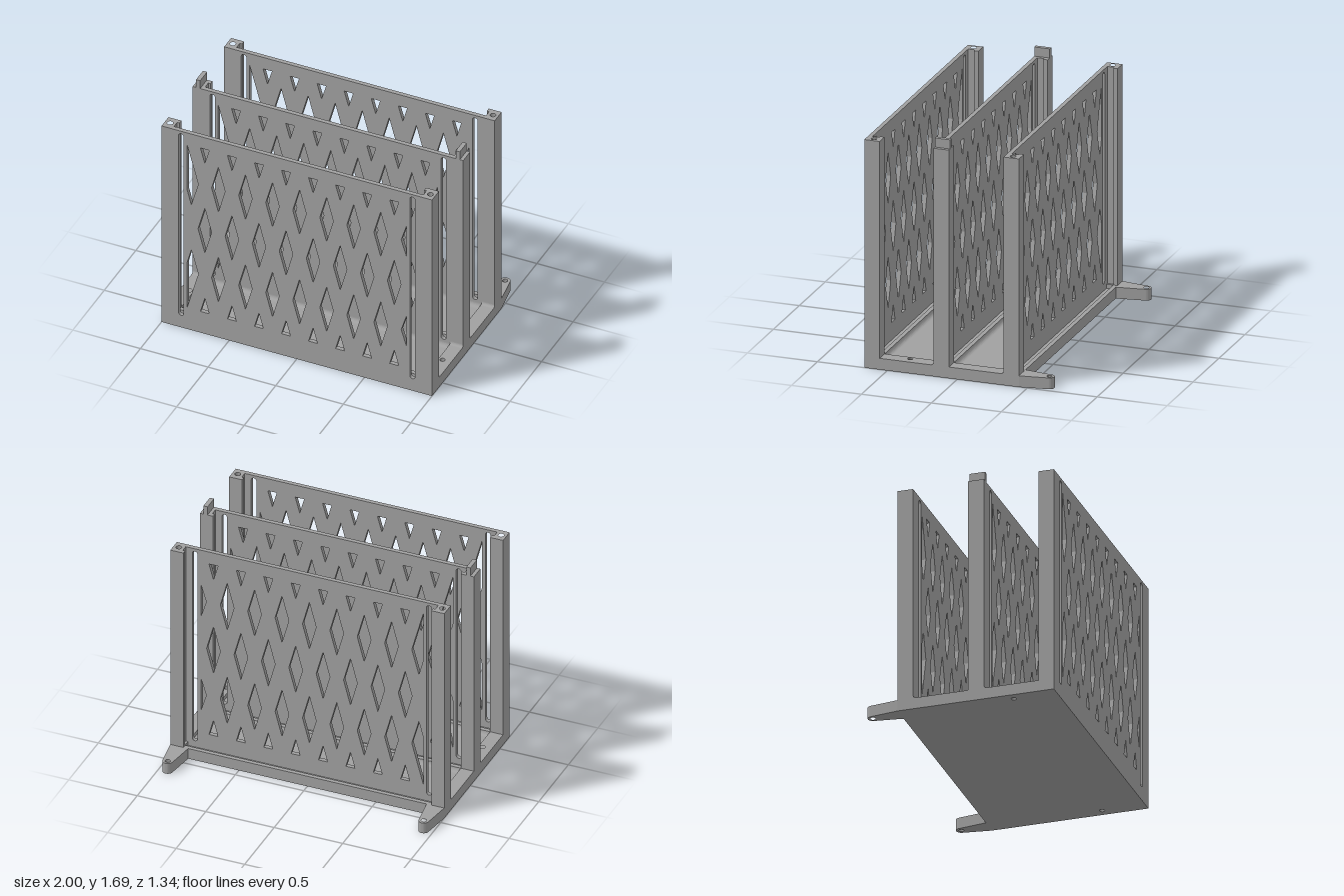
import * as THREE from 'three';

const grey = new THREE.MeshStandardMaterial({ color: 0xa0a0a0 });
grey.name = 'grey plastic';

const FRONTS = [0.665, 0.17, -0.33]; // front face of each wall
const DEPTH = 0.11, SHEET = 0.03, TOP = 1.625;
const FLOOR = 0.05, RIM = 0.08, INNER = 0.905;

const poly = (pts, Type = THREE.Shape) => new Type(pts.map(([x, y]) => new THREE.Vector2(x, y)));
const circle = (x, y, r) => new THREE.Path().absarc(x, y, r, 0, Math.PI * 2, true);

function add(parent, name, geo) {
  const mesh = new THREE.Mesh(geo, grey);
  mesh.name = name;
  parent.add(mesh);
  return mesh;
}

function box(parent, name, x0, x1, y0, y1, z0, z1) {
  const geo = new THREE.BoxGeometry(x1 - x0, y1 - y0, z1 - z0);
  return add(parent, name, geo.translate((x0 + x1) / 2, (y0 + y1) / 2, (z0 + z1) / 2));
}

// Extrude a plan shape, drawn in (x, -z), upwards from y0 to y1
function plan(parent, name, shape, y0, y1) {
  const geo = new THREE.ExtrudeGeometry(shape, { depth: y1 - y0, bevelEnabled: false, curveSegments: 12 });
  return add(parent, name, geo.rotateX(-Math.PI / 2).translate(0, y0, 0));
}

// Concave fillet along x, in the corner at (y, z); dir is the way it spreads in z
function cove(parent, x0, x1, y, z, r, dir) {
  const shape = new THREE.Shape();
  shape.moveTo(0, 0);
  shape.lineTo(-dir * r, 0);
  for (let i = 1; i <= 6; i++) {
    const a = (i / 6) * Math.PI / 2;
    shape.lineTo(-dir * r * (1 - Math.sin(a)), r * (1 - Math.cos(a)));
  }
  const geo = new THREE.ExtrudeGeometry(shape, { depth: x1 - x0, bevelEnabled: false });
  add(parent, 'floorFillet', geo.rotateY(Math.PI / 2).translate(x0, y, z));
}

// Perforated front sheet: diamonds, triangles and two long slots
function sheetGeometry() {
  const shape = poly([[-INNER, FLOOR], [INNER, FLOOR], [INNER, TOP], [-INNER, TOP]]);
  const hole = (pts) => shape.holes.push(poly(pts, THREE.Path));
  const diamond = (x, y) => hole([[x, y - 0.185], [x + 0.05, y], [x, y + 0.185], [x - 0.05, y]]);
  for (let i = 0; i < 8; i++) {
    const x = -0.68 + 0.2 * i;
    diamond(x, 0.855);
    hole([[x - 0.033, 1.53], [x + 0.033, 1.53], [x, 1.412]]);
    hole([[x - 0.033, 0.175], [x + 0.033, 0.175], [x, 0.295]]);
    if (i < 7) for (const y of [0.48, 1.225]) diamond(x + 0.1, y);
  }
  // clipped cut-outs at both ends, mirrored about mid height
  for (const s of [-1, 1]) {
    const m = (pts) => hole(pts.map(([x, y]) => [x, 0.8525 + s * y]));
    m([[-0.812, 0.677], [-0.728, 0.372], [-0.78, 0.186], [-0.812, 0.305]]);
    m([[0.81, 0.495], [0.772, 0.372], [0.81, 0.25]]);
  }
  for (const s of [-1, 1]) {
    const slot = new THREE.Path();
    slot.absarc(s * 0.855, 1.585, 0.019, 0, Math.PI, false);
    slot.absarc(s * 0.855, 0.118, 0.019, Math.PI, Math.PI * 2, false);
    shape.holes.push(slot);
  }
  return new THREE.ExtrudeGeometry(shape, { depth: SHEET, bevelEnabled: false, curveSegments: 8 });
}

// Post section with a vertical groove on its inner side
function postShape(s, zf, bored) {
  const shape = poly([
    [1, 0], [1, DEPTH], [INNER, DEPTH], [INNER, 0.08], [0.922, 0.08],
    [0.922, SHEET], [INNER, SHEET], [INNER, 0],
  ].map(([x, d]) => [s * x, d - zf]));
  if (bored) shape.holes.push(circle(s * 0.962, 0.055 - zf, 0.02));
  return shape;
}

export function createModel() {
  const model = new THREE.Group();
  model.name = 'cardRack';

  // Base slab with two screw holes
  const back = FRONTS[2] - DEPTH;
  const slab = poly([[-1, -FRONTS[0]], [1, -FRONTS[0]], [1, -back], [-1, -back]]);
  for (const s of [-1, 1]) slab.holes.push(circle(s * 0.935, -0.36, 0.018));
  plan(model, 'base', slab, 0, FLOOR);

  // Raised side rims and mounting ears
  for (const s of [-1, 1]) {
    const rim = poly([[INNER, -FRONTS[0]], [1, -FRONTS[0]], [1, -back], [INNER, -back]].map(([x, y]) => [s * x, y]));
    rim.holes.push(circle(s * 0.935, -0.36, 0.018));
    plan(model, 'sideRim', rim, FLOOR, RIM);

    const pts = [[0.87, -back], [1, -back]];
    for (let i = 0; i <= 12; i++) {
      const a = 0.14 + (i / 12) * (Math.PI - 0.28);
      pts.push([0.935 + 0.036 * Math.cos(a), 0.635 + 0.036 * Math.sin(a)]);
    }
    const ear = poly(pts.map(([x, y]) => [s * x, y]));
    ear.holes.push(circle(s * 0.935, 0.635, 0.018));
    plan(model, 'mountingEar', ear, 0, RIM);
  }

  // Three walls
  const sheet = sheetGeometry();
  FRONTS.forEach((zf, i) => {
    const wall = new THREE.Group();
    wall.name = ['frontWall', 'middleWall', 'backWall'][i];
    model.add(wall);
    add(wall, 'perforatedSheet', sheet).position.z = zf - SHEET;
    box(wall, 'backLip', -INNER, INNER, FLOOR, RIM, zf - DEPTH, zf - 0.08);
    for (const s of [-1, 1]) {
      const bored = i !== 1;
      plan(wall, 'post', postShape(s, zf, false), RIM, TOP - 0.12);
      plan(wall, 'postTop', postShape(s, zf, bored), TOP - 0.12, TOP);
      if (!bored) box(wall, 'topTab', s * 0.96 - 0.015, s * 0.96 + 0.015, TOP, 1.69, zf - DEPTH, zf);
    }
    // fillets where the floor meets the walls
    if (i > 0) {
      cove(wall, -INNER, INNER, FLOOR, zf, 0.03, 1);
      cove(wall, -1, -INNER, RIM, zf, 0.02, 1);
      cove(wall, INNER, 1, RIM, zf, 0.02, 1);
    }
    if (i < 2) cove(wall, -INNER, INNER, FLOOR, zf - DEPTH, 0.03, -1);
  });
  return model;
}
